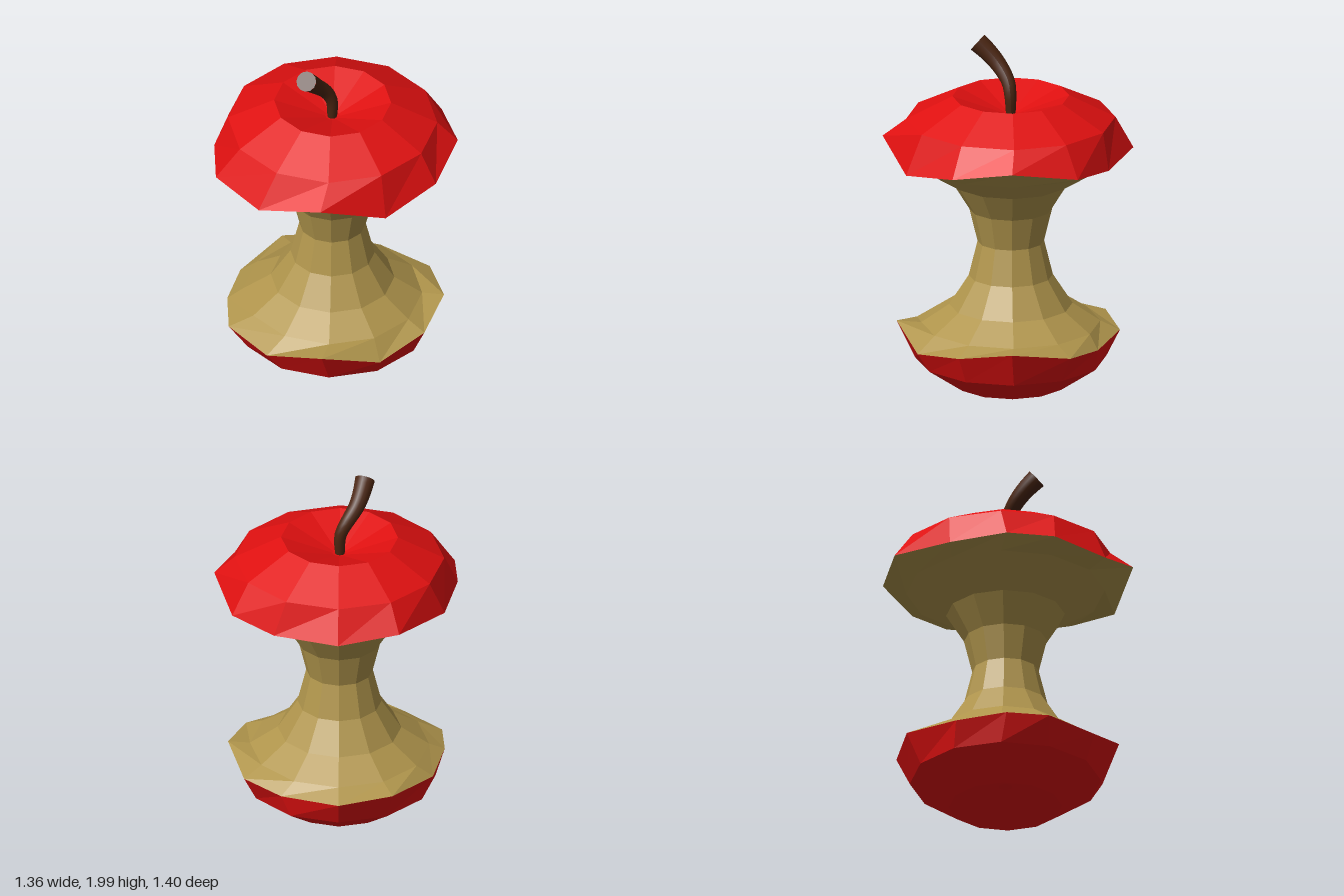
import * as THREE from 'three';

const SIDES = 12;
const CX = -0.02, CZ = -0.015; // axis of the core

// level ring of points around the axis
const ring = (r, y) => Array.from({ length: SIDES }, (_, i) => {
  const a = (i / SIDES) * Math.PI * 2;
  return new THREE.Vector3(CX + r * Math.cos(a), y, CZ + r * Math.sin(a));
});

// skin a stack of rings, listed so that the outside faces out
function loft(name, rings, color) {
  const index = [];
  for (let j = 0; j < rings.length - 1; j++) {
    for (let i = 0; i < SIDES; i++) {
      const n = (i + 1) % SIDES;
      const a = j * SIDES + i, b = j * SIDES + n;
      const c = a + SIDES, d = b + SIDES;
      index.push(a, c, b, b, c, d);
    }
  }
  const geo = new THREE.BufferGeometry().setFromPoints(rings.flat());
  geo.setIndex(index);
  geo.computeVertexNormals();
  const mat = new THREE.MeshStandardMaterial({ color, flatShading: true, side: THREE.DoubleSide });
  const mesh = new THREE.Mesh(geo, mat);
  mesh.name = name;
  return mesh;
}

// tapered, bent stem with a flat cut end
function makeStem() {
  const group = new THREE.Group();
  group.name = 'stem';
  const path = new THREE.CatmullRomCurve3([
    [-0.022, 1.56, -0.015], [-0.025, 1.69, -0.012], [-0.055, 1.755, 0.0],
    [-0.115, 1.84, 0.055], [-0.145, 1.905, 0.115], [-0.16, 1.95, 0.165],
  ].map(p => new THREE.Vector3(...p)));
  const steps = 14, around = 12, tip = 0.057;
  const geo = new THREE.TubeGeometry(path, steps, 1, around, false);
  const pos = geo.attributes.position, v = new THREE.Vector3();
  for (let k = 0; k < pos.count; k++) {
    const t = Math.floor(k / (around + 1)) / steps;
    const c = path.getPointAt(t);
    v.fromBufferAttribute(pos, k).sub(c).multiplyScalar(0.026 + (tip - 0.026) * t).add(c);
    pos.setXYZ(k, v.x, v.y, v.z);
  }
  geo.computeVertexNormals();
  const mat = new THREE.MeshStandardMaterial({ color: 0x4a2511 });
  const shaft = new THREE.Mesh(geo, mat);
  shaft.name = 'stemShaft';
  const end = new THREE.Mesh(new THREE.CircleGeometry(tip, around), mat);
  end.name = 'stemCutEnd';
  end.position.copy(path.getPointAt(1));
  end.quaternion.setFromUnitVectors(new THREE.Vector3(0, 0, 1), path.getTangentAt(1));
  group.add(shaft, end);
  return group;
}

export function createModel() {
  const model = new THREE.Group();
  model.name = 'appleCore';

  // uneven bitten edge of the upper skin
  const upperRim = [
    [0.68, 1.44, 0], [0.57, 1.38, 0.33], [0.3, 1.32, 0.58], [-0.06, 1.44, 0.7],
    [-0.41, 1.34, 0.56], [-0.66, 1.36, 0.29], [-0.68, 1.38, 0.02], [-0.61, 1.36, -0.3],
    [-0.36, 1.4, -0.62], [-0.02, 1.37, -0.7], [0.34, 1.35, -0.55], [0.575, 1.375, -0.37],
  ].map(p => new THREE.Vector3(...p));

  // the lower edge repeats it, smaller and flatter
  const lowerRim = upperRim.map(p => new THREE.Vector3(
    CX + (p.x - CX) * 0.89, 0.355 + (p.y - 1.44) * 0.8, CZ + (p.z - CZ) * 0.89));

  const red = 0xe01010;
  model.add(loft('upperSkin',
    [upperRim, ring(0.585, 1.55), ring(0.327, 1.68), ring(0.04, 1.58), ring(0, 1.575)], red));
  model.add(loft('lowerSkin',
    [ring(0, 0.125), ring(0.04, 0.12), ring(0.318, 0), ring(0.535, 0.15), lowerRim], red));

  // waisted flesh between the two edges: [radius, height]
  const waist = [[0.5, 0.355], [0.345, 0.46], [0.235, 0.63], [0.186, 0.83],
    [0.232, 1.02], [0.332, 1.18], [0.555, 1.32]];
  model.add(loft('flesh',
    [lowerRim, ...waist.map(([r, y]) => ring(r, y)), upperRim], 0xb0954c));

  model.add(makeStem());
  return model;
}
